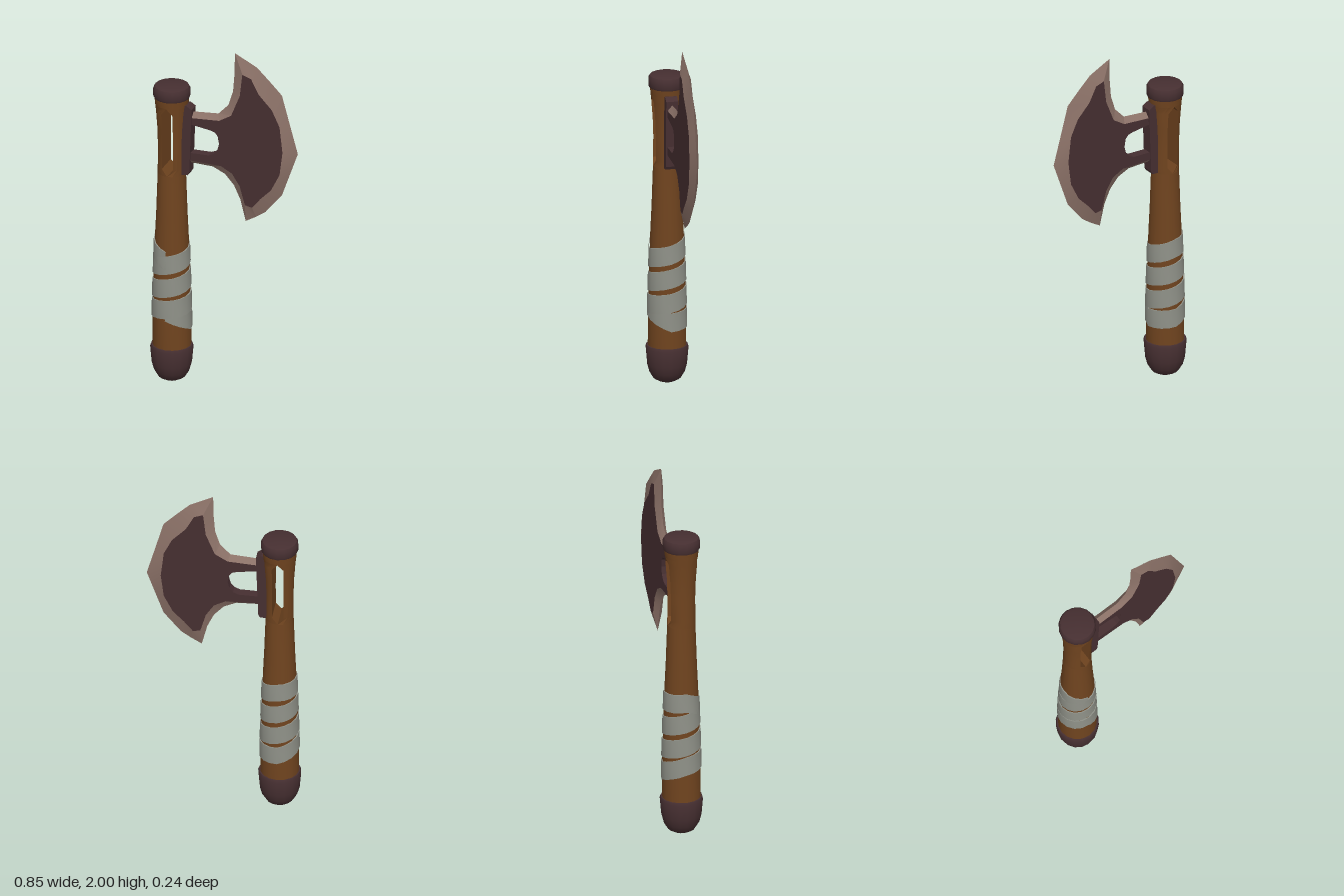
import * as THREE from 'three';
import { toCreasedNormals } from 'three/addons/utils/BufferGeometryUtils.js';

const SIDES = 16;
const AXIS_X = -0.307;

const mat = (name, color) => {
  const m = new THREE.MeshStandardMaterial({ color });
  m.name = name;
  return m;
};

// Piecewise-linear lookup in [[key, value], ...]
function lookup(table, k) {
  let i = 1;
  while (i < table.length - 1 && k > table[i][0]) i++;
  const [a, b] = [table[i - 1], table[i]];
  return THREE.MathUtils.lerp(a[1], b[1], THREE.MathUtils.clamp((k - a[0]) / (b[0] - a[0]), 0, 1));
}

// Skin consecutive cross-sections (arrays of [x, y, z])
function loft(rings, closed, crease) {
  const pos = [];
  const n = rings[0].length;
  for (let r = 0; r < rings.length - 1; r++) {
    for (let i = 0; i < (closed ? n : n - 1); i++) {
      const j = (i + 1) % n;
      const [a, b, c, d] = [rings[r][i], rings[r][j], rings[r + 1][j], rings[r + 1][i]];
      pos.push(...a, ...b, ...c, ...a, ...c, ...d);
    }
  }
  const g = new THREE.BufferGeometry();
  g.setAttribute('position', new THREE.Float32BufferAttribute(pos, 3));
  return toCreasedNormals(g, crease);
}

const lathe = (pts, crease = 0.65) =>
  toCreasedNormals(new THREE.LatheGeometry(pts.map(p => new THREE.Vector2(...p)), SIDES), crease);

// Flat plate centred on z = 0
function plate(pts, depth) {
  const shape = new THREE.Shape(pts.map(p => new THREE.Vector2(...p)));
  return new THREE.ExtrudeGeometry(shape, { depth, bevelEnabled: false }).translate(0, 0, -depth / 2);
}

// Handle radius by height
const RADIUS = [[0.19, 0.106], [0.4, 0.105], [0.6, 0.1], [0.85, 0.092], [1.0, 0.085], [1.235, 0.077],
  [1.4, 0.076], [1.5, 0.079], [1.6, 0.086], [1.645, 0.091], [1.69, 0.095]];
const radius = y => lookup(RADIUS, y);

// Half-width of the slot by height
const SLOT = [[1.235, 0], [1.275, 0.032], [1.4, 0.032], [1.5, 0.032], [1.605, 0.032], [1.645, 0]];

// Height of the middle of the wrap by turns, counted from the front towards +x
const WRAP = [[0, 0.44], [0.25, 0.365], [0.5, 0.375], [0.75, 0.43], [1, 0.452], [1.25, 0.475],
  [2.25, 0.613], [3.25, 0.748], [3.5, 0.79], [3.75, 0.8], [4, 0.74]];

// Blade rim as pairs: cutting outline, then edge of the raised face
const RIM = [
  [[-0.2, 1.613], [-0.2, 1.583]], [[-0.037, 1.625], [-0.025, 1.593]], [[0.02, 1.685], [0.045, 1.635]],
  [[0.047, 1.77], [0.095, 1.76]], [[0.055, 1.87], [0.103, 1.83]], [[0.058, 2.0], [0.11, 1.89]],
  [[0.185, 1.935], [0.16, 1.872]], [[0.26, 1.862], [0.205, 1.785]], [[0.33, 1.79], [0.28, 1.705]],
  [[0.375, 1.625], [0.325, 1.61]], [[0.422, 1.455], [0.342, 1.46]], [[0.375, 1.322], [0.325, 1.325]],
  [[0.33, 1.195], [0.275, 1.225]], [[0.235, 1.08], [0.215, 1.165]], [[0.18, 1.042], [0.165, 1.105]],
  [[0.12, 1.008], [0.125, 1.113]], [[0.09, 1.13], [0.11, 1.165]], [[0.053, 1.21], [0.095, 1.22]],
  [[0, 1.27], [0.05, 1.29]], [[-0.07, 1.303], [-0.015, 1.325]], [[-0.2, 1.308], [-0.2, 1.33]],
];
// Opening between the two blade arms, bottom to top
const OPENING = [[-0.2, 1.375], [-0.085, 1.377], [-0.055, 1.39], [-0.035, 1.415], [-0.025, 1.455],
  [-0.033, 1.5], [-0.05, 1.52], [-0.075, 1.528], [-0.2, 1.547]];

export function createModel() {
  const wood = mat('wood', 0x70441f);
  const darkMetal = mat('dark metal', 0x462f31);
  const steel = mat('steel edge', 0x8c7268);
  const cloth = mat('cloth', 0x8f9188);

  const axe = new THREE.Group();
  axe.name = 'axe';
  const handle = new THREE.Group();
  handle.name = 'handle';
  handle.position.x = AXIS_X;
  const head = new THREE.Group();
  head.name = 'axeHead';
  axe.add(handle, head);
  const add = (parent, name, geo, material) => {
    const m = new THREE.Mesh(geo, material);
    m.name = name;
    parent.add(m);
    return m;
  };

  // Shaft below and above the slot
  const profile = (lo, hi) => RADIUS.filter(([y]) => y >= lo && y <= hi).map(([y, r]) => [r, y]);
  add(handle, 'lowerShaft', lathe(profile(0.19, 1.235)), wood);
  add(handle, 'shaftNeck', lathe(profile(1.645, 1.69)), wood);

  // Two cheeks on either side of the slot
  const cheek = loft(SLOT.map(([y, w]) => {
    const r = radius(y), start = Math.asin(w / r), ring = [];
    for (let i = 0; i <= SIDES / 2; i++) {
      const a = start + (Math.PI - 2 * start) * i / (SIDES / 2);
      ring.push([r * Math.sin(a), y, r * Math.cos(a)]);
    }
    return ring;
  }), true, 0.6);
  add(handle, 'leftSlotCheek', cheek, wood);
  add(handle, 'rightSlotCheek', cheek, wood).rotation.y = Math.PI;

  // Pommel and top cap
  add(handle, 'pommel', lathe([[0, 0], [0.045, 0.005], [0.075, 0.022], [0.098, 0.06], [0.11, 0.105],
    [0.118, 0.198], [0.113, 0.212], [0.1, 0.212]]), darkMetal);
  add(handle, 'topCap', lathe([[0.085, 1.682], [0.098, 1.685], [0.102, 1.695], [0.102, 1.735],
    [0.094, 1.75], [0.08, 1.755], [0, 1.758]]), darkMetal);

  // Cloth strip wound around the grip
  const wrapRings = [];
  for (let i = 0; i <= 4 * SIDES; i++) {
    const t = i / SIDES, a = t * Math.PI * 2, y = lookup(WRAP, t);
    const point = (dy, lift) => {
      const r = radius(y + dy) + lift;
      return [r * Math.sin(a), y + dy, r * Math.cos(a)];
    };
    wrapRings.push([point(0.053, -0.004), point(0.053, 0.006), point(-0.053, 0.006), point(-0.053, -0.004)]);
  }
  add(handle, 'gripWrap', loft(wrapRings, true, 0.7), cloth);

  // Mount plate joining the blade to the shaft
  add(head, 'mountPlate', plate([[-0.245, 1.24], [-0.203, 1.243], [-0.194, 1.26], [-0.181, 1.635],
    [-0.212, 1.655], [-0.245, 1.65]], 0.066), darkMetal);

  // Blade body with two arms, and its sharpened rim
  const half = 0.025;
  add(head, 'bladeBody', plate([...RIM.map(p => p[1]), ...OPENING], half * 2), darkMetal);
  add(head, 'bladeEdge', loft(RIM.map(([o, i]) => [[...i, -half], [...o, 0], [...i, half]]), false, 0.3), steel);

  return axe;
}
